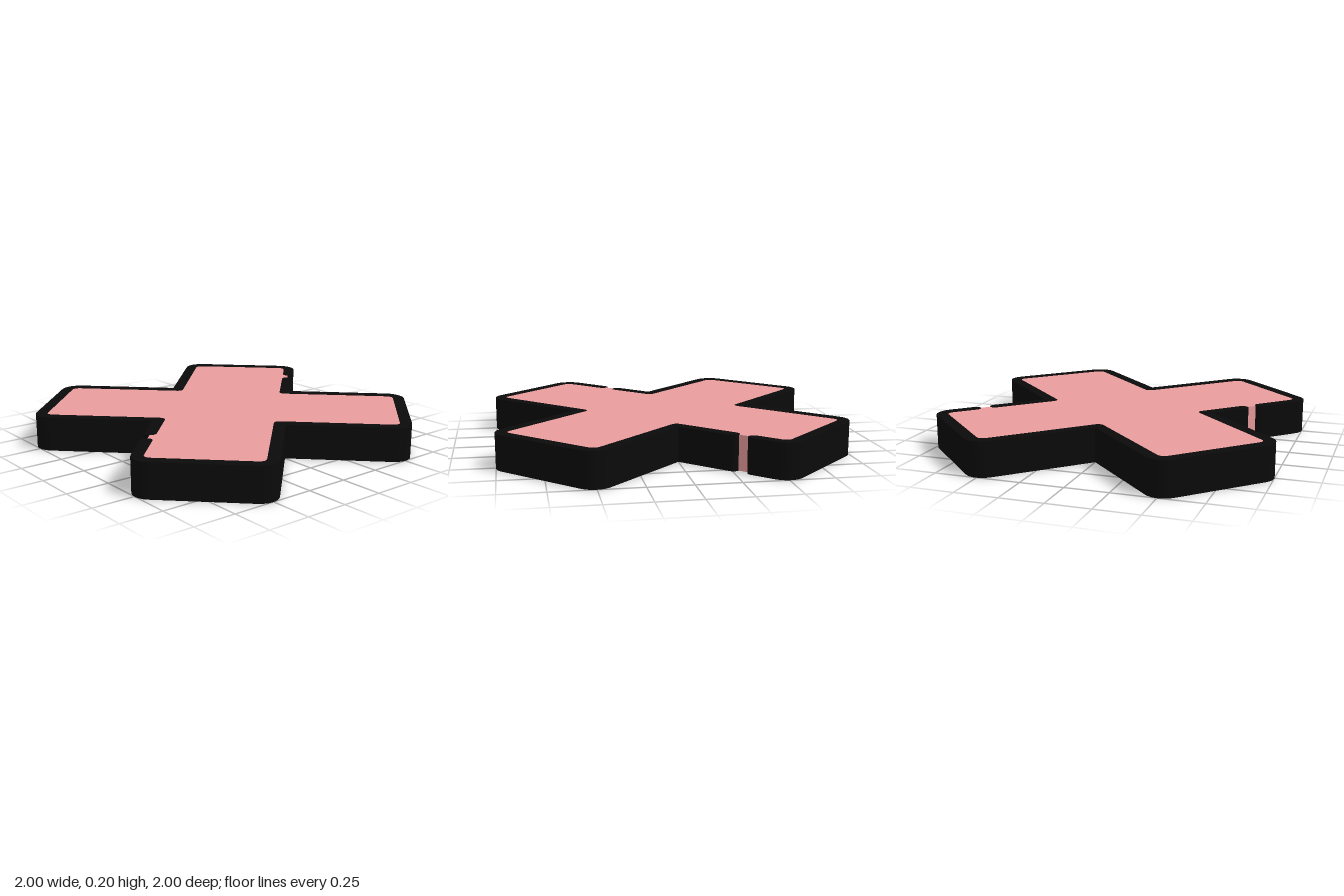
import * as THREE from 'three';

const HEIGHT = 0.2, HALF_WIDTH = 0.034;   // slab height, half of rim thickness
const NOTCH = 0.492, NEAR = 0.505, FAR = 0.997, RADIUS = 0.072, STEPS = 6;
const QUARTER = 1 + 2 * (STEPS + 1);      // points in one quarter of the outline

// One quarter of the cross: inner notch, then the two rounded corners of an arm
function quarterPoints() {
  const pts = [[0, NOTCH]];
  const inset = RADIUS * Math.SQRT2;
  for (const [cx, cz, start] of [[NEAR, FAR - inset, 0.75], [FAR - inset, NEAR, 0.25]]) {
    for (let i = 0; i <= STEPS; i++) {
      const a = Math.PI * (start - 0.5 * i / STEPS);
      pts.push([cx + RADIUS * Math.cos(a), cz + RADIUS * Math.sin(a)]);
    }
  }
  return pts;
}

// The whole outline in plan (x, z), by turning the quarter four times
function crossOutline() {
  const all = [];
  let quarter = quarterPoints();
  for (let i = 0; i < 4; i++) {
    all.push(...quarter);
    quarter = quarter.map(([x, z]) => [z, -x]);
  }
  return all.map(([x, z]) => new THREE.Vector2(x, z));
}

// Thickens an open path, with round ends and round outer joins at sharp bends
function strokeShape(path, h) {
  const ring = [...path, ...path.slice(1, -1).reverse()];
  const out = [];
  ring.forEach((p, i) => {
    const before = ring[(i + ring.length - 1) % ring.length];
    const after = ring[(i + 1) % ring.length];
    const d1 = p.clone().sub(before).normalize();
    const d2 = after.clone().sub(p).normalize();
    let turn = Math.atan2(d1.cross(d2), d1.dot(d2));
    if (Math.abs(turn) > 3) turn = -Math.PI;
    const normal = Math.atan2(d1.x, -d1.y);
    if (turn < -1) {
      const n = turn < -3 ? 10 : 5;
      for (let k = 0; k <= n; k++) {
        const a = normal + turn * k / n;
        out.push(new THREE.Vector2(p.x + h * Math.cos(a), p.y + h * Math.sin(a)));
      }
    } else {
      const a = normal + turn / 2, m = h / Math.cos(turn / 2);
      out.push(new THREE.Vector2(p.x + m * Math.cos(a), p.y + m * Math.sin(a)));
    }
  });
  return new THREE.Shape(out);
}

// Extrudes a plan shape upwards between two heights
function slab(name, shape, bottom, top, material) {
  const geometry = new THREE.ExtrudeGeometry(shape, { depth: top - bottom, bevelEnabled: false });
  geometry.rotateX(Math.PI / 2).translate(0, top, 0);
  const mesh = new THREE.Mesh(geometry, material);
  mesh.name = name;
  return mesh;
}

export function createModel() {
  const group = new THREE.Group();
  group.name = 'crossPlate';
  const pink = new THREE.MeshStandardMaterial({ color: 0xe99c9c });
  const black = new THREE.MeshStandardMaterial({ color: 0x0a0a0a });

  const outline = crossOutline();
  const onFrontEdge = x => new THREE.Vector2(x, NOTCH + x);
  const onBackEdge = x => new THREE.Vector2(x, x - NOTCH);

  // Filled cross, a hair thinner than the rim so the rim covers its edge
  group.add(slab('plate', new THREE.Shape(outline), 0.0008, HEIGHT - 0.0008, pink));

  // Rim in two pieces, leaving a small gap at the front and at the back
  const rightPath = [onFrontEdge(0.28), ...outline.slice(1, 2 * QUARTER + 1), onBackEdge(-0.26)];
  const leftPath = [onBackEdge(-0.35), ...outline.slice(2 * QUARTER + 1), outline[0], onFrontEdge(0.19)];
  group.add(slab('rimLeft', strokeShape(rightPath, HALF_WIDTH), 0, HEIGHT, black));
  group.add(slab('rimRight', strokeShape(leftPath, HALF_WIDTH), 0, HEIGHT, black));
  return group;
}
